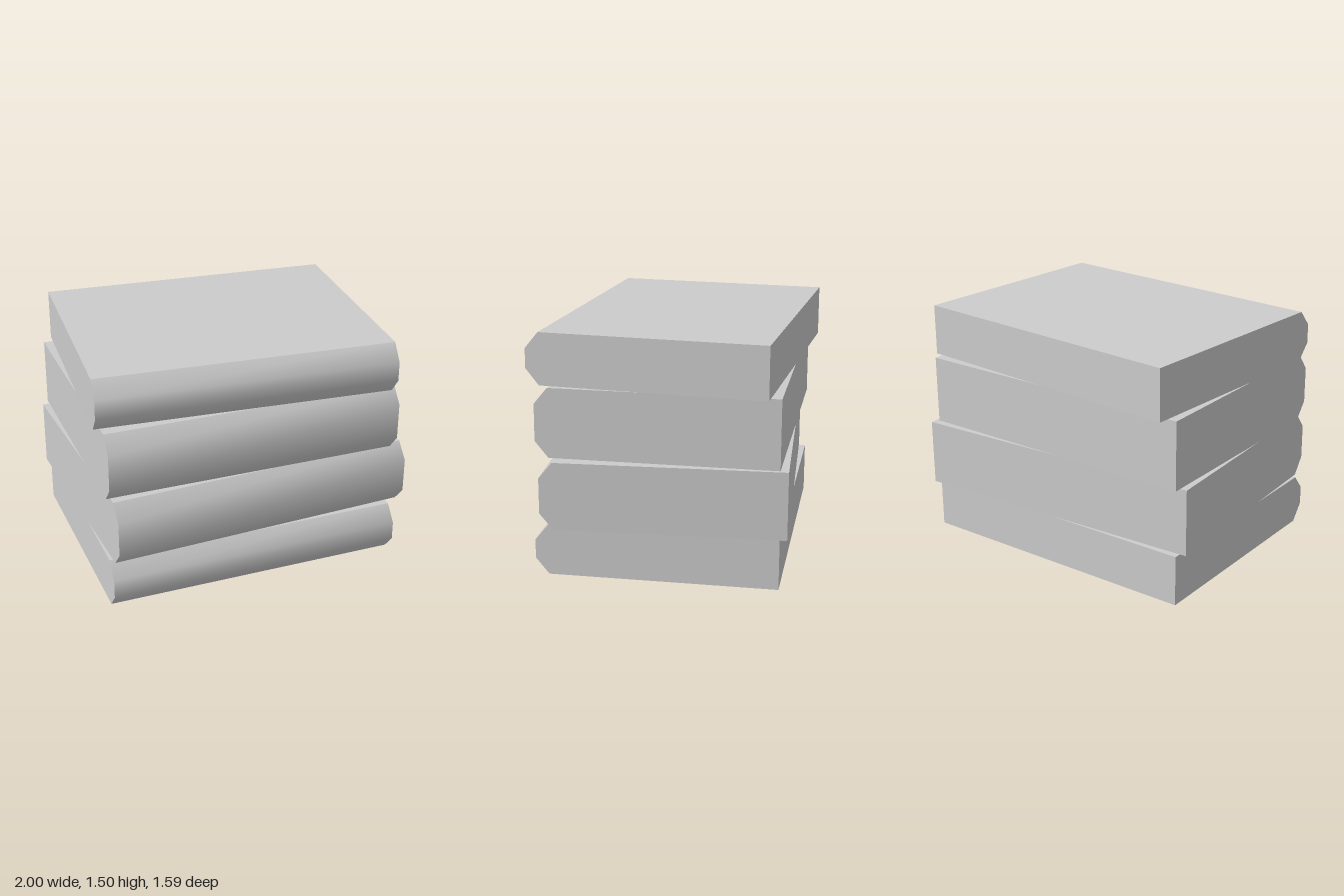
import * as THREE from 'three';
import { toCreasedNormals } from 'three/addons/utils/BufferGeometryUtils.js';

const SPINE = 0.082; // how far the spine stands out
const BEVEL = 0.1;   // height of each sloping spine face

// Slab with a bevelled, softly shaded spine on +z; base at y = 0
function bookGeometry(width, height, depth) {
  const back = depth / 2, front = -depth / 2; // shape x runs along -z
  const shape = new THREE.Shape();
  shape.moveTo(back, 0);
  shape.lineTo(back, height);
  shape.lineTo(front + SPINE, height);
  shape.lineTo(front, height - BEVEL);
  shape.lineTo(front, BEVEL);
  shape.lineTo(front + SPINE, 0);
  shape.closePath();
  const geometry = new THREE.ExtrudeGeometry(shape, { depth: width, bevelEnabled: false });
  geometry.translate(0, 0, -width / 2);
  geometry.rotateY(Math.PI / 2);
  return toCreasedNormals(geometry, 0.8);
}

export function createModel() {
  const model = new THREE.Group();
  model.name = 'bookStack';
  const grey = new THREE.MeshStandardMaterial({ color: 0xcccccc });
  grey.name = 'lightGrey';

  // Books from the bottom up: size, centre and turn in degrees
  const books = [
    { name: 'bottomBook', w: 1.87, h: 0.317, d: 1.475, x: -0.02, z: 0.007, turn: 0.2 },
    { name: 'lowerMiddleBook', w: 1.925, h: 0.418, d: 1.47, x: 0, z: 0.004, turn: 2.9 },
    { name: 'upperMiddleBook', w: 1.86, h: 0.428, d: 1.46, x: -0.025, z: 0.002, turn: 0 },
    { name: 'topBook', w: 1.855, h: 0.32, d: 1.455, x: -0.02, z: -0.003, turn: -4.3 },
  ];

  let y = 0;
  for (const b of books) {
    const mesh = new THREE.Mesh(bookGeometry(b.w, b.h, b.d), grey);
    mesh.name = b.name;
    mesh.position.set(b.x, y, b.z);
    mesh.rotation.y = THREE.MathUtils.degToRad(b.turn);
    model.add(mesh);
    y += b.h;
  }

  // The whole stack leans very slightly
  model.rotation.set(-0.0045, 0, -0.005);
  model.position.set(-0.004, 0.008, 0.003);
  return model;
}
